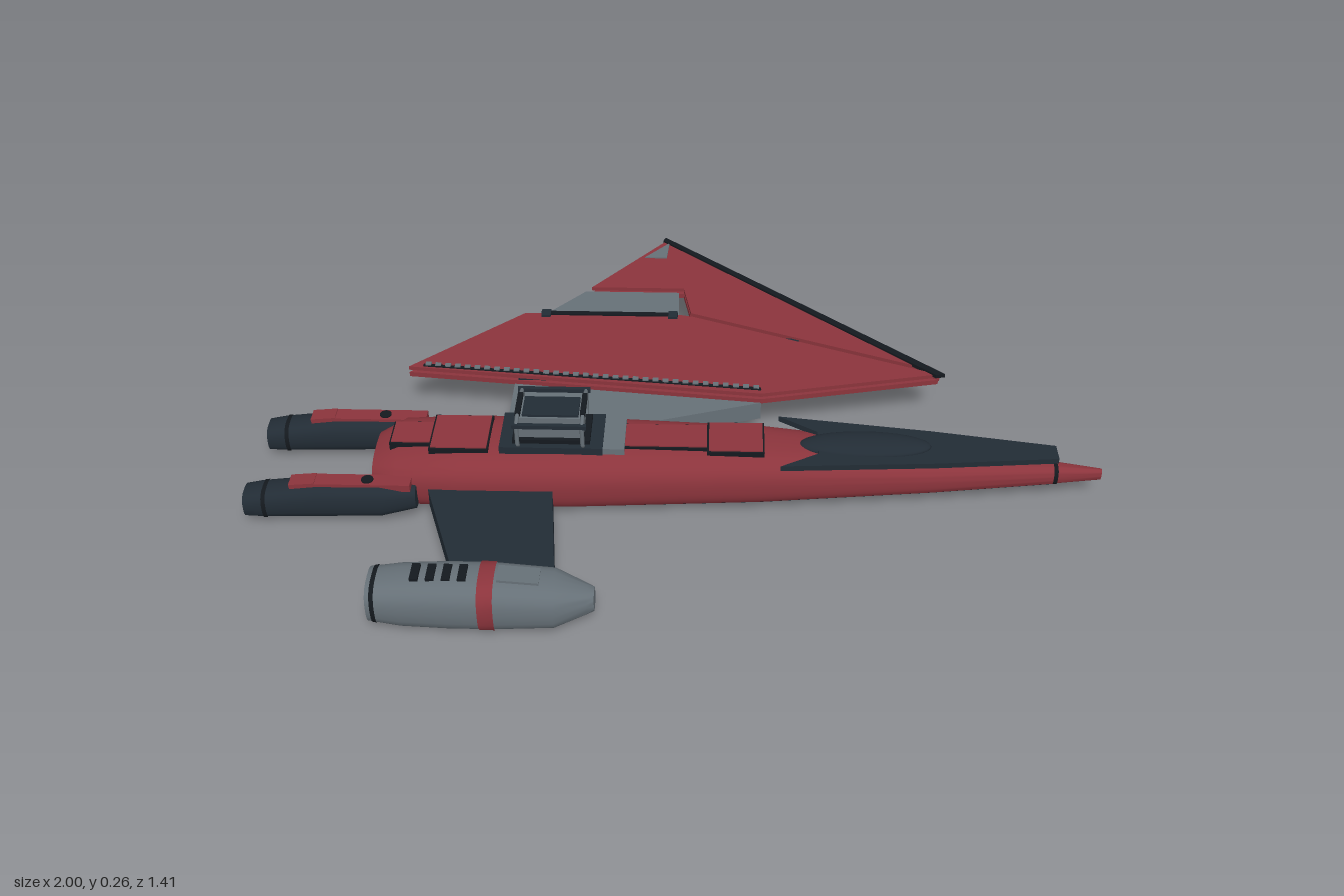
import * as THREE from 'three';
import { toCreasedNormals } from 'three/addons/utils/BufferGeometryUtils.js';

const mat = (name, color) => {
  const m = new THREE.MeshStandardMaterial({ color });
  m.name = name;
  return m;
};

export function createModel() {
  const red = mat('hull red', 0x8b343c);
  const dark = mat('dark slate', 0x222c35);
  const grey = mat('panel grey', 0x667077);
  const black = mat('trim black', 0x14191e);
  const ship = new THREE.Group();
  ship.name = 'starfighter';
  const CZ = 0.19; // fuselage centre line

  const add = (name, geo, material) => {
    const m = new THREE.Mesh(geo, material);
    m.name = name;
    ship.add(m);
    return m;
  };
  // box given by its limits
  const box = (name, x0, x1, y0, y1, z0, z1, material) => {
    const m = add(name, new THREE.BoxGeometry(x1 - x0, y1 - y0, z1 - z0), material);
    m.position.set((x0 + x1) / 2, (y0 + y1) / 2, (z0 + z1) / 2);
    return m;
  };
  // flat plate from an x,z outline
  const plateGeo = (pts, y0, y1) => {
    const shape = new THREE.Shape(pts.map(([x, z]) => new THREE.Vector2(x, -z)));
    const g = new THREE.ExtrudeGeometry(shape, { depth: y1 - y0, bevelEnabled: false });
    return g.rotateX(-Math.PI / 2).translate(0, y0, 0);
  };
  const plate = (name, pts, y0, y1, material) => add(name, plateGeo(pts, y0, y1), material);
  // skin through rounded-box sections [x, half width, bottom, top]
  const loft = (name, rows, cz, material, n = 32, power = 0.75, a0 = 0, a1 = Math.PI * 2) => {
    const pos = [], idx = [];
    const bend = (v) => Math.sign(v) * Math.abs(v) ** power;
    rows.forEach(([x, w, b, t], i) => {
      for (let j = 0; j <= n; j++) {
        const a = a0 + ((a1 - a0) * j) / n;
        pos.push(x, (b + t) / 2 + ((t - b) / 2) * bend(Math.sin(a)), cz + w * bend(Math.cos(a)));
        if (i && j) {
          const q = i * (n + 1) + j, p = q - n - 1;
          idx.push(p - 1, q - 1, q, p - 1, q, p);
        }
      }
    });
    const g = new THREE.BufferGeometry();
    g.setAttribute('position', new THREE.Float32BufferAttribute(pos, 3));
    g.setIndex(idx);
    return add(name, toCreasedNormals(g, 0.6), material);
  };

  // Fuselage: red upper shell, dark belly, red nose tip
  const hull = [
    [-0.71, 0, 0.075, 0.075], [-0.71, 0.08, 0.03, 0.125], [-0.65, 0.116, 0.006, 0.153], [-0.5, 0.12, 0.001, 0.162],
    [-0.25, 0.119, 0.003, 0.165], [0.2, 0.096, 0.015, 0.158], [0.6, 0.06, 0.035, 0.124], [0.89, 0.025, 0.05, 0.1],
  ];
  const cut = 0.63;
  loft('upperHull', hull, CZ, red, 32, 0.75, -cut, Math.PI + cut);
  loft('bellyHull', hull, CZ, dark, 16, 0.75, Math.PI + cut, Math.PI * 2 - cut);
  loft('noseSeam', [[0.885, 0.026, 0.05, 0.102], [0.895, 0.025, 0.05, 0.1]], CZ, black);
  loft('noseTip', [[0.89, 0.024, 0.051, 0.099], [1, 0.008, 0.058, 0.087], [1, 0, 0.072, 0.072]], CZ, red);

  // Dark nose deck sloping gently forward, with canopy
  const half = [[0.24, 0.093], [0.6, 0.06], [0.89, 0.024]];
  const deck = plateGeo([...half.map(([x, w]) => [x, CZ + w]),
    ...half.slice().reverse().map(([x, w]) => [x, CZ - w]), [0.33, CZ - 0.04], [0.33, CZ + 0.04]], 0, 0.014);
  const dp = deck.attributes.position;
  for (let i = 0; i < dp.count; i++) dp.setY(i, dp.getY(i) + 0.142 - (dp.getX(i) - 0.24) * 0.031);
  deck.computeVertexNormals();
  add('noseDeck', deck, dark);
  const canopy = add('canopy', new THREE.SphereGeometry(1, 32, 16), dark);
  canopy.scale.set(0.155, 0.021, 0.046);
  canopy.position.set(0.44, 0.147, CZ);

  // Raised panels along the spine
  const panel = (name, x0, x1, w, top) => {
    box(name, x0, x1, 0.14, top, CZ - w, CZ + w, red);
    box(name + 'Seam', x0 - 0.004, x1 + 0.004, 0.14, top - 0.003, CZ - w - 0.004, CZ + w + 0.004, black);
  };
  panel('tailPanel', -0.665, -0.575, 0.037, 0.166);
  panel('rearPanel', -0.57, -0.44, 0.06, 0.17);
  panel('spineStrip', -0.12, 0.07, 0.04, 0.168);
  panel('forwardPanel', 0.075, 0.2, 0.052, 0.167);

  // Turret: base, housing and guard frame
  box('turretBase', -0.41, -0.17, 0.155, 0.176, 0.125, 0.255, dark);
  box('turretStep', -0.17, -0.12, 0.155, 0.173, 0.128, 0.252, grey);
  box('turretCollar', -0.38, -0.2, 0.174, 0.187, 0.14, 0.24, black);
  box('turretHousing', -0.365, -0.215, 0.185, 0.243, 0.15, 0.23, grey);
  box('turretRoof', -0.355, -0.225, 0.242, 0.249, 0.155, 0.225, dark);
  for (const s of [-1, 1]) {
    for (const x of [-0.365, -0.215]) {
      const path = new THREE.CurvePath();
      const pts = [[0.058, 0.178], [0.07, 0.19], [0.07, 0.243], [0.035, 0.252]]
        .map(([d, y]) => new THREE.Vector3(x, y, CZ + s * d));
      for (let i = 1; i < pts.length; i++) path.add(new THREE.LineCurve3(pts[i - 1], pts[i]));
      add('guardPost', new THREE.TubeGeometry(path, 12, 0.005, 6), grey);
    }
    box('guardRail', -0.375, -0.205, 0.238, 0.248, CZ + s * 0.07 - 0.005, CZ + s * 0.07 + 0.005, dark);
  }
  for (const x of [-0.365, -0.215]) box('guardCrossbar', x - 0.006, x + 0.006, 0.247, 0.257, 0.15, 0.23, black);

  // Twin tail engines
  for (const s of [-1, 1]) {
    const z = CZ + s * 0.122;
    loft('engine', [
      [-0.95, 0, 0.055, 0.055], [-0.95, 0.026, 0.03, 0.079], [-1, 0.03, 0.026, 0.083], [-1, 0.036, 0.02, 0.088],
      [-0.96, 0.04, 0.02, 0.096], [-0.83, 0.041, 0.023, 0.113], [-0.68, 0.04, 0.028, 0.115],
      [-0.6, 0.022, 0.045, 0.1], [-0.6, 0, 0.07, 0.07],
    ], z, dark, 20);
    loft('engineRing', [[-0.955, 0.042, 0.018, 0.098], [-0.945, 0.042, 0.018, 0.099]], z, black, 20);
    box('engineTopPlate', -0.84, -0.61, 0.1, 0.119, z - 0.019, z + 0.019, red);
    const rear = box('engineRearPlate', -0.89, -0.83, 0.105, 0.118, z - 0.019, z + 0.019, red);
    rear.rotation.z = 0.1;
    const port = add('enginePort', new THREE.CylinderGeometry(0.014, 0.014, 0.006, 16), black);
    port.position.set(-0.71, 0.119, z);
  }

  // Right outrigger: strut and nacelle
  plate('rightStrut', [[-0.59, 0.26], [-0.29, 0.26], [-0.255, 0.59], [-0.475, 0.59]], 0.036, 0.09, dark);
  const NZ = 0.635;
  loft('nacelle', [
    [-0.62, 0, 0.075, 0.075], [-0.62, 0.045, 0.032, 0.118], [-0.65, 0.049, 0.028, 0.122], [-0.65, 0.055, 0.023, 0.127],
    [-0.58, 0.064, 0.014, 0.135], [-0.48, 0.067, 0.01, 0.14], [-0.38, 0.067, 0.01, 0.139], [-0.25, 0.062, 0.016, 0.128],
    [-0.18, 0.03, 0.04, 0.102], [-0.165, 0.023, 0.046, 0.095], [-0.165, 0, 0.07, 0.07],
  ], NZ, grey, 24);
  loft('nacelleBand', [[-0.41, 0.069, 0.008, 0.142], [-0.376, 0.069, 0.008, 0.141]], NZ, red, 24);
  loft('nacelleRim', [[-0.64, 0.0575, 0.02, 0.13], [-0.63, 0.059, 0.019, 0.131]], NZ, black, 24);
  for (let i = 0; i < 4; i++) {
    const x = -0.555 + i * 0.034;
    box('nacelleLouvre', x, x + 0.018, 0.13, 0.143, NZ - 0.024, NZ + 0.024, black);
  }
  const hatch = box('nacelleHatch', -0.37, -0.28, 0.133, 0.139, NZ - 0.024, NZ + 0.024, grey);
  hatch.rotation.z = -0.085;

  // Left wing root
  plate('wingRoot', [[-0.41, 0.11], [-0.08, 0.09], [0.2, 0.003], [0.2, -0.02], [-0.09, -0.12], [-0.41, -0.12]],
    0.076, 0.124, grey);

  // Left wing: upper and lower skins with open seams around the flap
  const inner = [[-0.676, -0.086], [0.2, 0.003], [0.64, -0.088], [0.02, -0.325], [0, -0.33], [-0.41, -0.33]];
  const outer = [[-0.245, -0.456], [0, -0.456], [0.022, -0.34], [0.645, -0.1], [-0.05, -0.7]];
  for (const [label, y0, y1] of [['Lower', 0.122, 0.135], ['Upper', 0.142, 0.152]]) {
    plate('innerWing' + label, inner, y0, y1, red);
    plate('outerWing' + label, outer, y0, y1, red);
  }
  plate('wingFlap', [[-0.365, -0.325], [-0.01, -0.325], [-0.012, -0.443], [-0.26, -0.443]], 0.126, 0.147, grey);
  box('flapHinge', -0.368, -0.012, 0.134, 0.156, -0.336, -0.322, black);
  for (const x of [-0.355, -0.025]) box('flapBracket', x - 0.012, x + 0.012, 0.14, 0.158, -0.34, -0.312, dark);
  plate('leadingEdge', [[-0.056, -0.705], [-0.062, -0.69], [0.632, -0.078], [0.655, -0.083]], 0.147, 0.157, black);
  plate('wingTipPatch', [[-0.045, -0.68], [-0.11, -0.605], [-0.05, -0.605]], 0.15, 0.155, grey);

  // Spars between the wing skins
  box('innerSpar', -0.4, 0.25, 0.13, 0.146, -0.14, -0.06, dark);
  box('outerSpar', -0.06, -0.01, 0.13, 0.146, -0.6, -0.47, dark);
  box('tipSpar', 0.12, 0.3, 0.13, 0.146, -0.24, -0.21, dark);

  // Toothed seam along the wing root
  plate('rootSeam', [[-0.64, -0.097], [-0.64, -0.087], [0.2, -0.01], [0.2, -0.02]], 0.15, 0.154, black);
  for (let i = 0; i < 34; i++) {
    const t = (i + 0.5) / 34;
    const x = -0.64 + 0.84 * t, z = -0.095 + 0.077 * t;
    box('seamTooth', x - 0.007, x + 0.007, 0.15, 0.157, z - 0.007, z + 0.005, grey);
  }

  return ship;
}
